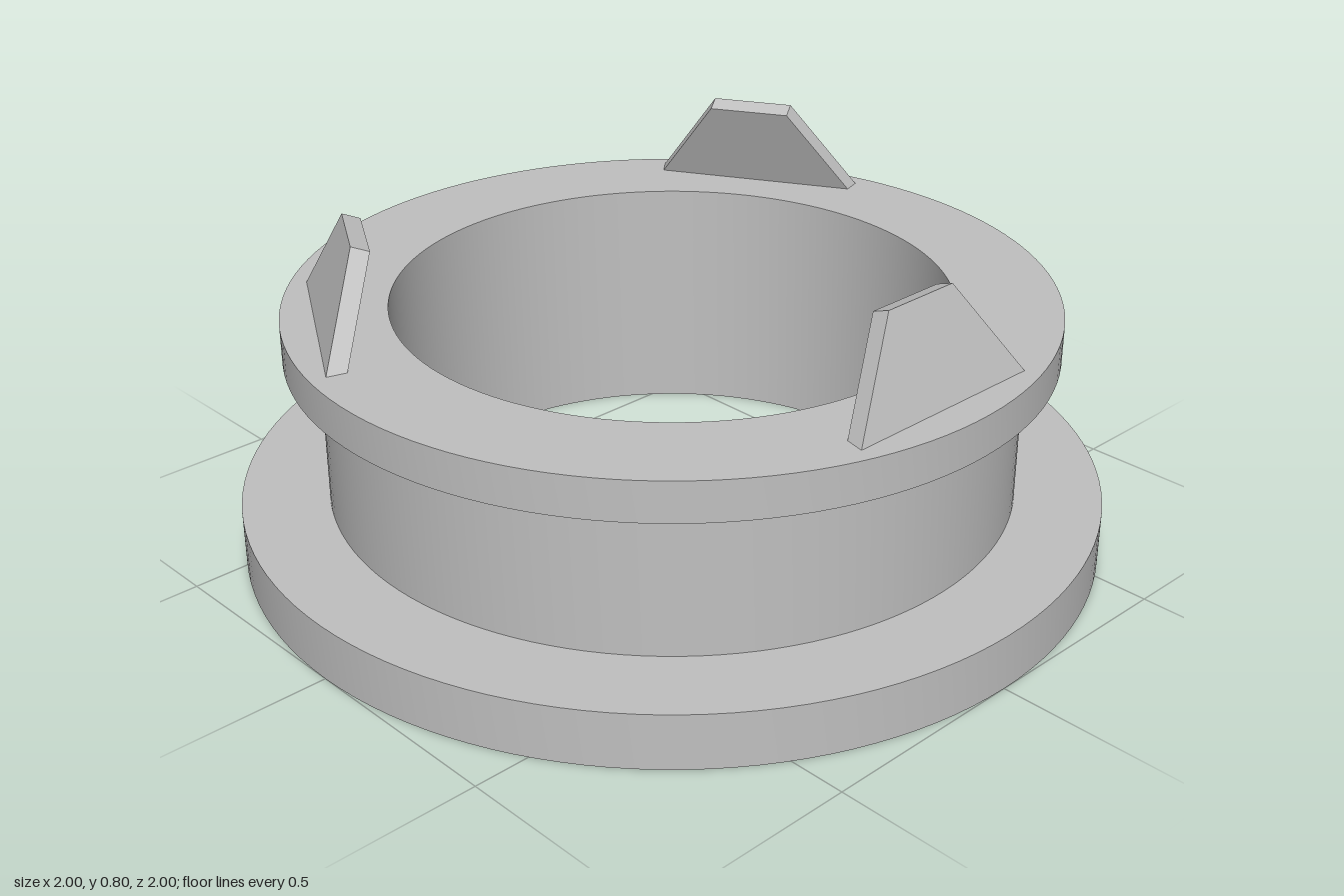
import * as THREE from 'three';
import { toCreasedNormals } from 'three/addons/utils/BufferGeometryUtils.js';

export function createModel() {
  const model = new THREE.Group();
  model.name = 'flangedCollar';
  const grey = new THREE.MeshStandardMaterial({ color: 0xc0c0c0 });
  grey.name = 'light grey';

  // Hollow collar: wide base flange, narrower neck, top flange, straight bore
  const profile = [
    [0.64, 0], [1, 0], [1, 0.13], [0.8, 0.13], [0.8, 0.485],
    [0.88, 0.485], [0.88, 0.578], [0.64, 0.578], [0.64, 0],
  ].map(([r, y]) => new THREE.Vector2(r, y));
  const collar = new THREE.Mesh(
    toCreasedNormals(new THREE.LatheGeometry(profile, 128), 0.5), grey);
  collar.name = 'collar';
  model.add(collar);

  // Trapezoid tab, its outer face at z = 0, leaning inward by 20 degrees
  const outline = new THREE.Shape([
    [-0.256, 0], [0.256, 0], [0.098, 0.236], [-0.098, 0.236],
  ].map(([x, y]) => new THREE.Vector2(x, y)));
  const thickness = 0.043;
  const tabGeometry = new THREE.ExtrudeGeometry(outline, { depth: thickness, bevelEnabled: false });
  tabGeometry.translate(0, 0, -thickness);
  tabGeometry.rotateX(-Math.PI / 9);
  tabGeometry.translate(0, 0.578, 0.802);

  // Three tabs spaced evenly around the top flange
  for (let i = 0; i < 3; i++) {
    const tab = new THREE.Mesh(tabGeometry, grey);
    tab.name = `tab${i + 1}`;
    tab.rotation.y = Math.PI / 2 + (i * Math.PI * 2) / 3;
    model.add(tab);
  }
  return model;
}
